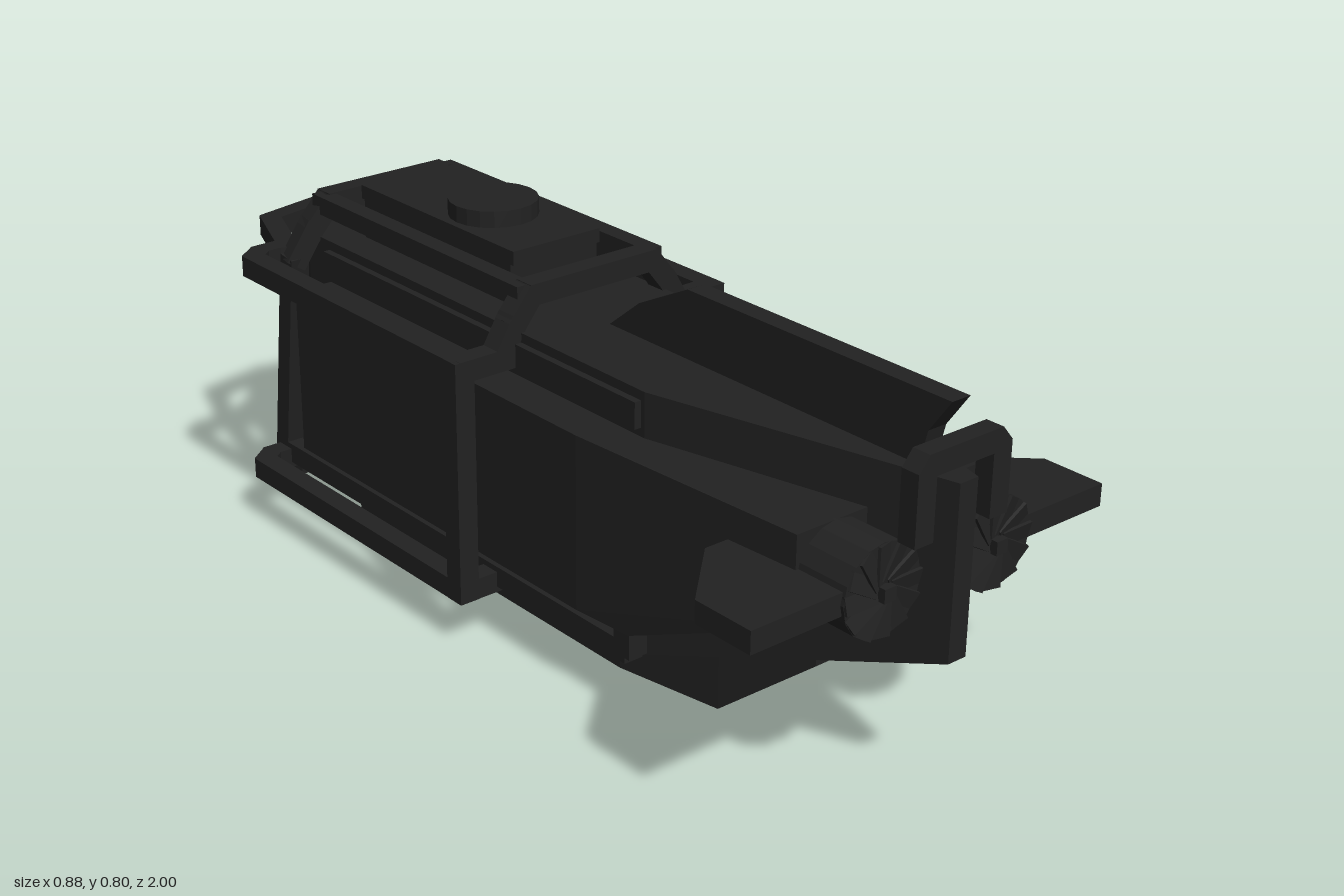
import * as THREE from 'three';
import { ConvexGeometry } from 'three/addons/geometries/ConvexGeometry.js';

export function createModel() {
  const model = new THREE.Group();
  model.name = 'submersible';
  const dark = new THREE.MeshStandardMaterial({ color: 0x222222 });
  dark.name = 'charcoal';
  const V = (x, y, z) => new THREE.Vector3(x, y, z);

  function add(name, geo, parent = model) {
    const m = new THREE.Mesh(geo, dark);
    m.name = name;
    parent.add(m);
    return m;
  }
  // Box given by its limits
  function box(name, x0, x1, y0, y1, z0, z1) {
    const m = add(name, new THREE.BoxGeometry(x1 - x0, y1 - y0, z1 - z0));
    m.position.set((x0 + x1) / 2, (y0 + y1) / 2, (z0 + z1) / 2);
    return m;
  }
  // Convex solid through rectangular sections [z, x0, x1, y0, y1]
  function solid(name, sections) {
    const pts = [];
    for (const [z, x0, x1, y0, y1] of sections)
      for (const x of [x0, x1]) for (const y of [y0, y1]) pts.push(V(x, y, z));
    return add(name, new ConvexGeometry(pts));
  }
  // Square-section bars along a path
  function bars(name, path, t = 0.045) {
    const group = new THREE.Group();
    group.name = name;
    for (let i = 0; i < path.length - 1; i++) {
      const a = V(...path[i]), b = V(...path[i + 1]);
      const m = add(name + 'Bar', new THREE.BoxGeometry(t, t, a.distanceTo(b) + t * 0.45), group);
      m.position.copy(a).lerp(b, 0.5);
      m.lookAt(b);
    }
    model.add(group);
  }
  // Flat polygon extruded by a depth
  function plate(points, depth) {
    const shape = new THREE.Shape(points.map(p => new THREE.Vector2(...p)));
    return new THREE.ExtrudeGeometry(shape, { depth, bevelEnabled: false });
  }
  const mirrored = path => [...path, ...path.slice().reverse().map(([x, y, z]) => [-x, y, z])];

  // Main hull, narrowing to a thin upright edge
  solid('hull', [
    [-0.75, -0.185, 0.185, 0.1, 0.65],
    [0.37, -0.185, 0.185, 0.1, 0.65],
    [1, -0.022, 0.022, 0.3, 0.65],
  ]);

  // Ballast keel
  solid('keel', [
    [-0.66, -0.14, 0.14, 0, 0.11],
    [0.25, -0.14, 0.14, 0, 0.11],
    [0.49, -0.095, 0.095, 0, 0.15],
    [0.7, -0.045, 0.045, 0.17, 0.207],
  ]);

  // Dorsal fin
  const fin = add('dorsalFin', plate(
    [[-0.97, 0.79], [-0.92, 0.72], [-0.9, 0.64], [-0.06, 0.64], [-0.16, 0.72], [-0.3, 0.79]], 0.044));
  fin.rotation.y = Math.PI / 2;
  fin.position.x = -0.022;

  // Top hatch
  solid('hatchBase', [
    [-0.64, -0.11, 0.11, 0.65, 0.74],
    [-0.13, -0.11, 0.11, 0.65, 0.74],
  ]);
  box('hatchDeck', -0.11, 0.11, 0.735, 0.765, -0.65, -0.12);
  const hatch = add('hatch', new THREE.CylinderGeometry(0.094, 0.094, 0.05, 20).toNonIndexed());
  hatch.geometry.computeVertexNormals();
  hatch.position.set(0, 0.775, -0.33);

  // Faceted cabin: overhanging brow, recessed lower bay
  const brow = [];
  for (const s of [-1, 1]) {
    brow.push(V(s * 0.185, 0.465, -0.72), V(s * 0.16, 0.465, -0.87), V(s * 0.09, 0.465, -0.945));
    brow.push(V(s * 0.18, 0.65, -0.72), V(s * 0.15, 0.65, -0.79), V(s * 0.08, 0.65, -0.895));
  }
  add('cabinBrow', new ConvexGeometry(brow));
  const bay = [];
  for (const s of [-1, 1]) for (const y of [0.14, 0.47])
    bay.push(V(s * 0.12, y, -0.72), V(s * 0.12, y, -0.85), V(s * 0.06, y, -0.915));
  add('cabinBay', new ConvexGeometry(bay));
  box('cabinFloor', -0.18, 0.18, 0.1, 0.15, -0.82, -0.74);

  // Arch joining the thrusters
  const arch = add('tailArch', plate([
    [0.115, 0.55], [0.115, 0.69], [0.09, 0.72], [-0.09, 0.72], [-0.115, 0.69], [-0.115, 0.55],
    [-0.07, 0.55], [-0.07, 0.675], [0.07, 0.675], [0.07, 0.55]], 0.04));
  arch.position.z = 0.95;

  // Frame hoops, nose bumper and upper cross members
  bars('frontHoop', mirrored([[0.232, 0.6, -0.022], [0.19, 0.67, -0.022], [0.15, 0.72, -0.022]]));
  bars('rearHoop', mirrored([[0.22, 0.083, -0.815], [0.232, 0.14, -0.795], [0.232, 0.6, -0.737],
    [0.19, 0.67, -0.728], [0.15, 0.72, -0.722]]));
  bars('hoopBase', [[-0.22, 0.083, -0.815], [0.22, 0.083, -0.815]]);
  bars('noseBumper', mirrored([[0.232, 0.603, -0.76], [0.16, 0.603, -0.945], [0, 0.603, -0.977]]));

  for (const s of [-1, 1]) {
    const span = (a, b) => (s > 0 ? [a, b] : [-b, -a]);
    // Side pod
    solid('sidePod', [
      [-0.67, ...span(0.18, 0.275), 0.19, 0.557],
      [0.28, ...span(0.18, 0.275), 0.19, 0.557],
      [0.42, ...span(0.15, 0.263), 0.19, 0.557],
      [0.83, ...span(0.065, 0.235), 0.37, 0.555],
    ]);
    // Hull ledge above the pod
    box('hullLedge', ...span(0.18, 0.2), 0.575, 0.63, -0.67, 0.36);

    // Outer roll cage
    for (const [name, y] of [['upperRail', 0.603], ['lowerRail', 0.128]])
      bars(name, [[s * 0.2, y, -0.022], [s * 0.322, y, -0.022], [s * 0.322, y, -0.755],
        [s * 0.29, y, -0.78], [s * 0.22, y, -0.78]]);
    bars('cagePost', [[s * 0.322, 0.115, -0.022], [s * 0.322, 0.615, -0.022]]);
    bars('roofRail', [[s * 0.163, 0.72, -0.022], [s * 0.163, 0.72, -0.722]], 0.04);
    bars('skidRail', [[s * 0.232, 0.14, -0.79], [s * 0.232, 0.14, 0.39], [s * 0.232, 0.225, 0.39]]);
    box('cabinStep', ...span(0.12, 0.17), 0.15, 0.2, -0.85, -0.78);

    // Horizontal stabiliser
    const wing = add('stabiliser', plate(
      [[0.19, 0.67], [0.3, 0.67], [0.438, 0.8], [0.438, 0.938], [0.19, 0.938]], 0.046));
    wing.rotation.x = Math.PI / 2;
    wing.position.y = 0.487;
    if (s < 0) {
      wing.rotation.z = Math.PI;
      wing.rotation.x = -Math.PI / 2;
      wing.position.y = 0.441;
    }

    // Thruster with twelve blades
    const thruster = new THREE.Group();
    thruster.name = 'thruster';
    thruster.position.set(s * 0.14, 0.463, 0.885);
    model.add(thruster);
    const duct = add('duct', new THREE.CylinderGeometry(0.093, 0.093, 0.12, 16).toNonIndexed(), thruster);
    duct.geometry.computeVertexNormals();
    duct.rotation.x = Math.PI / 2;
    for (let i = 0; i < 12; i++) {
      const arm = new THREE.Group();
      arm.name = 'bladeArm';
      arm.rotation.z = i * Math.PI / 6;
      const blade = add('blade', new THREE.BoxGeometry(0.036, 0.075, 0.006), arm);
      blade.position.set(0, 0.053, 0.061);
      blade.rotation.y = 0.25;
      thruster.add(arm);
    }
    const hub = add('hub', new THREE.BoxGeometry(0.028, 0.028, 0.03), thruster);
    hub.position.z = 0.065;
  }
  return model;
}
